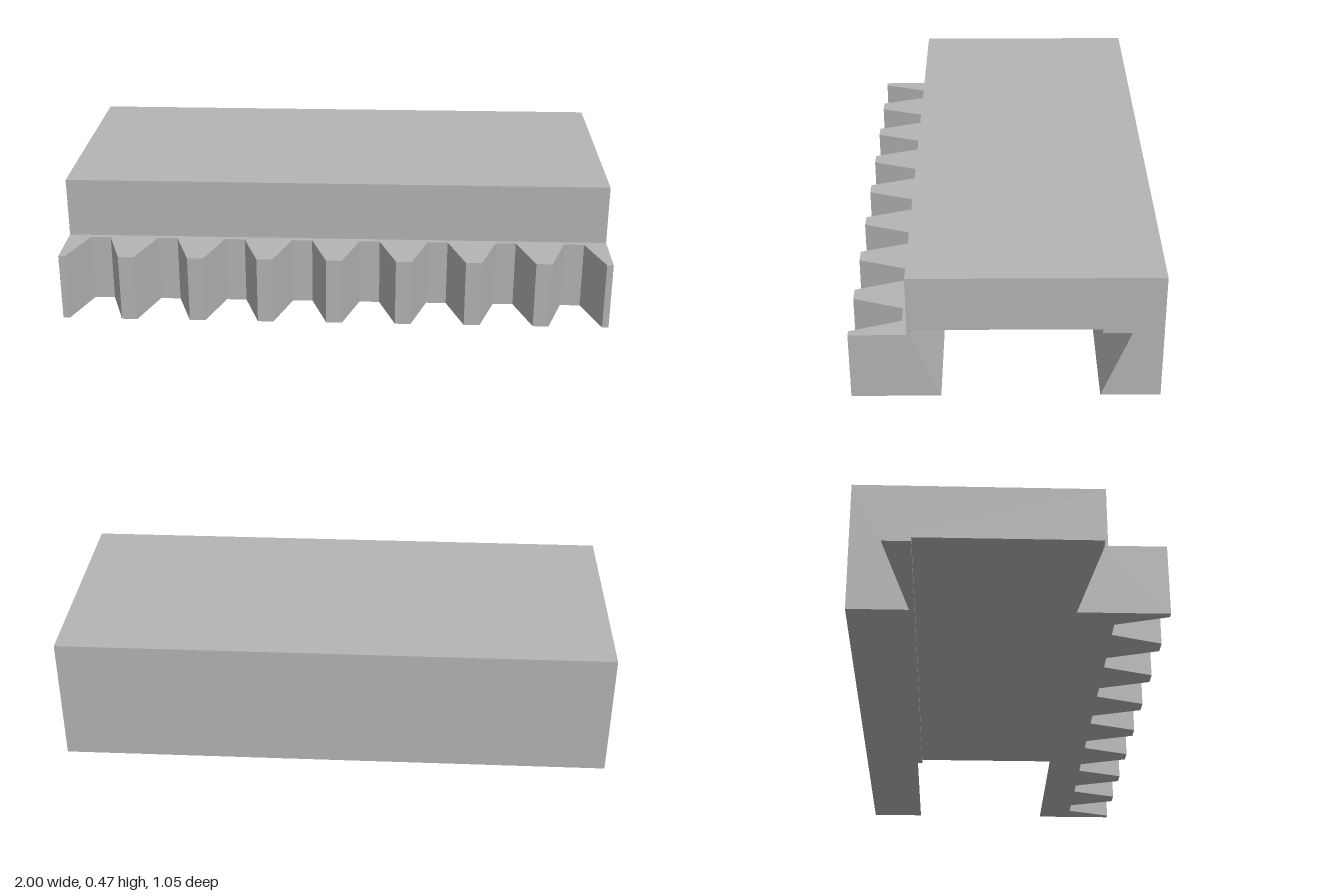
import * as THREE from 'three';

const LENGTH = 2;
const RACK_TOP = 0.25;

function shapeFrom(points) {
  return new THREE.Shape(points.map(([a, b]) => new THREE.Vector2(a, b)));
}

export function createModel() {
  const model = new THREE.Group();
  model.name = 'toothedSlide';
  const grey = new THREE.MeshStandardMaterial({ color: 0xb4b4b4 });
  grey.name = 'plain grey';

  // Slide body: (z, y) section with the dovetail channel, swept along x
  const section = shapeFrom([
    [0.33, 0.47], [-0.525, 0.47], [-0.525, 0], [-0.32, 0],
    [-0.42, 0.255], [-0.32, 0.255], [-0.32, 0.27],
    [0.32, 0.27], [0.32, RACK_TOP], [0.33, RACK_TOP],
  ]);
  const bodyGeometry = new THREE.ExtrudeGeometry(section, { depth: LENGTH, bevelEnabled: false });
  bodyGeometry.rotateY(-Math.PI / 2);
  bodyGeometry.translate(LENGTH / 2, 0, 0);
  const body = new THREE.Mesh(bodyGeometry, grey);
  body.name = 'slideBody';
  model.add(body);

  // Toothed rail: comb outline in plan, swept upward
  const pitch = 0.2513, gaps = 8;
  const tip = 0.525, root = 0.35, back = 0.32;
  const outline = [[-1, -back], [-1, -tip]];
  for (let i = 0; i < gaps; i++) {
    const x = (i - (gaps - 1) / 2) * pitch;
    outline.push([x - 0.097, -tip], [x - 0.037, -root], [x + 0.037, -root], [x + 0.097, -tip]);
  }
  outline.push([1, -tip], [1, -back]);
  const railGeometry = new THREE.ExtrudeGeometry(shapeFrom(outline), { depth: RACK_TOP, bevelEnabled: false });
  railGeometry.rotateX(-Math.PI / 2);

  // Lean the rail's inner wall into the channel at its foot
  const position = railGeometry.attributes.position;
  for (let i = 0; i < position.count; i++) {
    if (position.getZ(i) < back + 0.001 && position.getY(i) < 0.001) position.setZ(i, 0.22);
  }
  railGeometry.computeVertexNormals();
  const rail = new THREE.Mesh(railGeometry, grey);
  rail.name = 'toothedRail';
  model.add(rail);

  return model;
}
